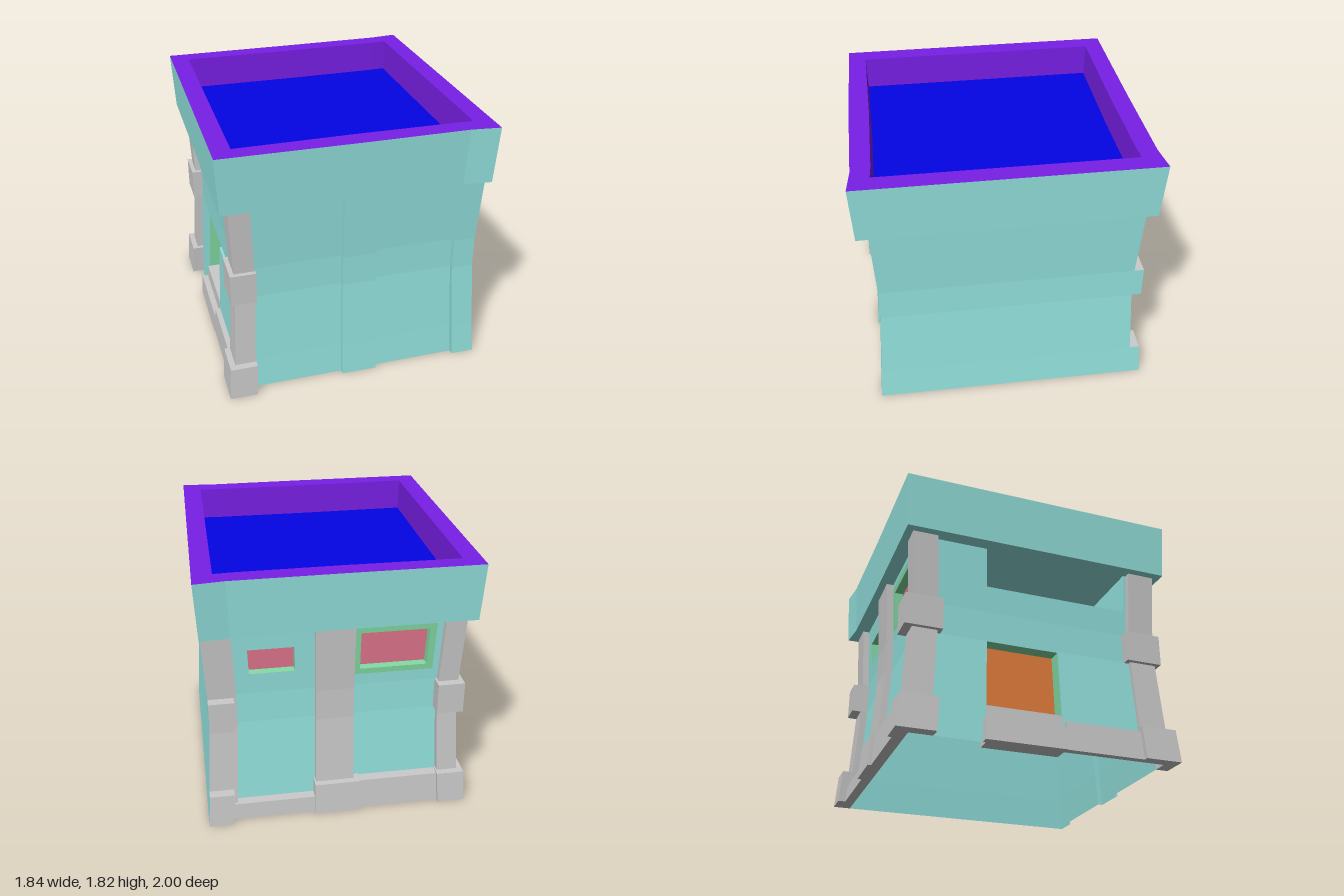
import * as THREE from 'three';

const TEAL = 0x94e4e0, GREY = 0xd0d0d0, PURPLE = 0x781fe6, BLUE = 0x0404e4;
const GREEN = 0x84dca6, PINK = 0xe2788e, BROWN = 0xe27d3c;

// waisted profile: plan scale at each height
const ROWS = [[0, 1.054], [0.23, 1.036], [0.72, 1.004], [0.94, 1.004], [1.42, 1.033], [1.815, 1.063]];
function scaleAt(y) {
  for (let i = 1; i < ROWS.length; i++) {
    const [a, sa] = ROWS[i - 1], [b, sb] = ROWS[i];
    if (y <= b) return sa + (sb - sa) * (y - a) / (b - a);
  }
  return ROWS[ROWS.length - 1][1];
}

const material = (color) =>
  new THREE.MeshStandardMaterial({ color, flatShading: true, side: THREE.DoubleSide });

const FACES = ['px', 'nx', 'py', 'ny', 'pz', 'nz'];

export function createModel() {
  const group = new THREE.Group();

  function add(name, geometry, color) {
    const mesh = new THREE.Mesh(geometry, material(color));
    mesh.name = name;
    group.add(mesh);
  }

  // box that follows the waisted profile, keeping only the listed faces
  function box(name, color, [x0, x1], [y0, y1], [z0, z1], keep) {
    const ys = [y0, ...ROWS.map((r) => r[0]).filter((y) => y > y0 + 0.001 && y < y1 - 0.001), y1];
    const n = ys.length - 1;
    const g = new THREE.BoxGeometry(1, 1, 1, 1, n, 1);
    const p = g.attributes.position;
    for (let i = 0; i < p.count; i++) {
      const y = ys[Math.round((p.getY(i) + 0.5) * n)], s = scaleAt(y);
      p.setXYZ(i, (p.getX(i) < 0 ? x0 : x1) * s, y, (p.getZ(i) < 0 ? z0 : z1) * s);
    }
    const old = Array.from(g.index.array), index = [];
    g.groups.forEach((f, i) => {
      if (keep.includes(FACES[i])) index.push(...old.slice(f.start, f.start + f.count));
    });
    g.setIndex(index);
    g.clearGroups();
    g.computeVertexNormals();
    add(name, g, color);
  }

  // closed loops of points joined by quads
  function loft(name, color, rings) {
    const n = rings[0].length, index = [];
    for (let r = 0; r < rings.length - 1; r++) {
      for (let i = 0; i < n; i++) {
        const a = r * n + i, b = r * n + (i + 1) % n;
        index.push(a, a + n, b, b, a + n, b + n);
      }
    }
    const g = new THREE.BufferGeometry();
    g.setAttribute('position', new THREE.Float32BufferAttribute(rings.flat(2), 3));
    g.setIndex(index);
    g.computeVertexNormals();
    add(name, g, color);
  }

  // back wall sheet with a rectangular hole
  function holedPanel(name, color, [x0, x1], [y0, y1], [hx0, hx1], [hy0, hy1], z) {
    const d = [z, z + 0.02];
    box(name, color, [x0, hx0], [y0, y1], d, 'nz');
    box(name, color, [hx1, x1], [y0, y1], d, 'nz');
    box(name, color, [hx0, hx1], [y0, hy0], d, 'nz');
    box(name, color, [hx0, hx1], [hy1, y1], d, 'nz');
  }
  function windowRecess(name, x, y, z) {
    box(name + 'Reveal', GREEN, x, y, [z, z + 0.06], 'px nx py ny');
    box(name + 'Pane', PINK, x, y, [z, z + 0.06], 'pz');
  }

  // L-shaped corner pier wrapping the right end of the front or back wall
  const xWall = -0.775, zFront = 0.835, zBack = -0.82;
  function pier(name, y, xOut, xIn, zOut, zIn) {
    const front = zOut > 0, zWall = front ? zFront : zBack;
    const span = (a, b) => [Math.min(a, b), Math.max(a, b)];
    box(name, GREY, [xOut, xIn], y, span(zWall, zOut), 'px nx py ny ' + (front ? 'pz' : 'nz'));
    box(name, GREY, [xOut, xWall], y, span(zIn, zWall), 'nx py ny ' + (front ? 'nz' : 'pz'));
  }

  // crown: overhanging band, coping and sunken roof
  const outer = [[0.868, -0.94], [0.68, -0.918], [0, -0.912], [-0.866, -0.912],
    [-0.866, 0.912], [0, 0.92], [0.68, 0.918], [0.868, 0.94]];
  const inner = [[0.746, -0.803], [0.64, -0.796], [0, -0.79], [-0.746, -0.796],
    [-0.746, 0.796], [0, 0.79], [0.64, 0.796], [0.746, 0.803]];
  const ring = (pts, y, k = scaleAt(y)) => pts.map(([x, z]) => [x * k, y, z * k]);
  const top = 1.815;
  loft('crownBand', TEAL, [ring(outer, top), ring(outer, 1.42, 1.04), ring(outer, 1.42, 0)]);
  loft('crownCoping', PURPLE, [ring(inner, 1.59, 1.055), ring(inner, top), ring(outer, top)]);
  loft('roof', BLUE, [ring(inner, 1.59, 0), ring(inner, 1.59, 1.055)]);

  // front wall with pilasters
  const full = [0, 1.42], foot = [0, 0.23], band = [0.72, 0.94];
  box('frontWall', TEAL, [-0.68, -0.08], full, [0.8, zFront], 'pz');
  box('frontWall', TEAL, [0.155, 0.715], full, [0.8, zFront], 'pz');
  box('frontPilaster', TEAL, [-0.08, 0.155], full, [zFront, 0.868], 'px nx pz');
  box('frontCornerPilaster', TEAL, [0.715, 0.868], full, [zFront, 0.868], 'nx pz');

  // flat left side, covering the ends of the back column
  const flush = [0.8, 0.868];
  box('sideWall', TEAL, flush, full, [-0.868, 0.868], 'px');
  for (const y of [foot, band]) box('sideWallEdge', TEAL, flush, y, [-0.935, -0.868], 'px');

  // corner piers with feet and middle blocks
  pier('frontPier', full, -0.817, -0.68, 0.868, 0.68);
  pier('frontPierBlock', band, -0.847, -0.676, 0.9, 0.645);
  pier('frontPierFoot', foot, -0.855, -0.676, 0.918, 0.675);
  pier('backPier', full, -0.817, -0.68, -0.868, -0.7);
  pier('backPierBlock', band, -0.847, -0.665, -0.925, -0.67);
  pier('backPierFoot', foot, -0.855, -0.67, -0.915, -0.67);

  // back columns
  box('backLeftColumn', GREY, [0.68, 0.868], full, [-0.868, zBack], 'nx nz');
  box('backLeftColumnBlock', GREY, [0.7, 0.868], band, [-0.935, zBack], 'nx py ny nz');
  box('backLeftColumnFoot', GREY, [0.705, 0.868], foot, [-0.935, zBack], 'nx py ny nz');
  box('backMiddleColumn', GREY, [-0.1, 0.155], full, [-0.868, zBack], 'px nx nz');
  box('backMiddleColumnFoot', GREY, [-0.14, 0.165], foot, [-0.912, zBack], 'px nx py ny nz');

  // back wall bays, windows and plinths
  const small = [[0.285, 0.585], [1.085, 1.265]];
  holedPanel('backLeftBay', TEAL, [0.155, 0.7], full, ...small, zBack);
  windowRecess('smallWindow', ...small, zBack);
  const frame = [[-0.64, -0.105], [1.02, 1.38]], large = [[-0.595, -0.145], [1.06, 1.33]];
  holedPanel('backRightBay', TEAL, [-0.68, -0.1], full, ...frame, zBack);
  holedPanel('largeWindowFrame', GREEN, ...frame, ...large, zBack);
  windowRecess('largeWindow', ...large, zBack);
  box('backLeftPlinth', GREY, [0.165, 0.705], [0, 0.12], [-0.885, zBack], 'py ny nz');
  box('backRightPlinth', GREY, [-0.67, -0.14], [0, 0.22], [-0.89, zBack], 'py ny nz');

  // entrance wall around the door and balcony openings
  const xw = [xWall, xWall + 0.02], zDoor = [-0.35, 0.15], zBalcony = [-0.35, 0.66];
  box('entranceWall', TEAL, xw, full, [-0.7, -0.35], 'nx');
  box('entranceWall', TEAL, xw, full, [0.66, 0.68], 'nx');
  box('entranceWall', TEAL, xw, [0.72, 1.13], zBalcony, 'nx');
  box('entrancePanel', TEAL, [-0.79, xWall], [0, 0.72], [0.15, 0.68], 'nx py nz');
  box('doorJamb', GREEN, [xWall, -0.68], [0.25, 0.72], zDoor, 'py pz nz');
  box('door', BROWN, [xWall, -0.68], [0.25, 0.72], zDoor, 'px');
  box('upperStep', GREY, [-0.79, -0.68], [0, 0.25], zDoor, 'px nx py ny pz nz');
  box('lowerStep', GREY, [-0.83, xWall], [0, 0.15], [-0.37, 0.16], 'nx py ny pz nz');
  box('entrancePlinth', GREY, [-0.825, xWall], [0, 0.2], [0.16, 0.68], 'nx py ny nz');

  // balcony recess
  const xBalcony = [xWall, -0.22];
  box('balconyFloor', GREEN, xBalcony, [0.92, 0.95], zBalcony, 'py');
  box('balconyWalls', TEAL, xBalcony, [0.95, 1.42], zBalcony, 'px pz nz');
  box('balconyParapet', TEAL, [xWall, -0.705], [0.95, 1.13], zBalcony, 'px');
  box('balconyCoping', PURPLE, [xWall, -0.705], [1.1, 1.13], zBalcony, 'py');

  return group;
}
